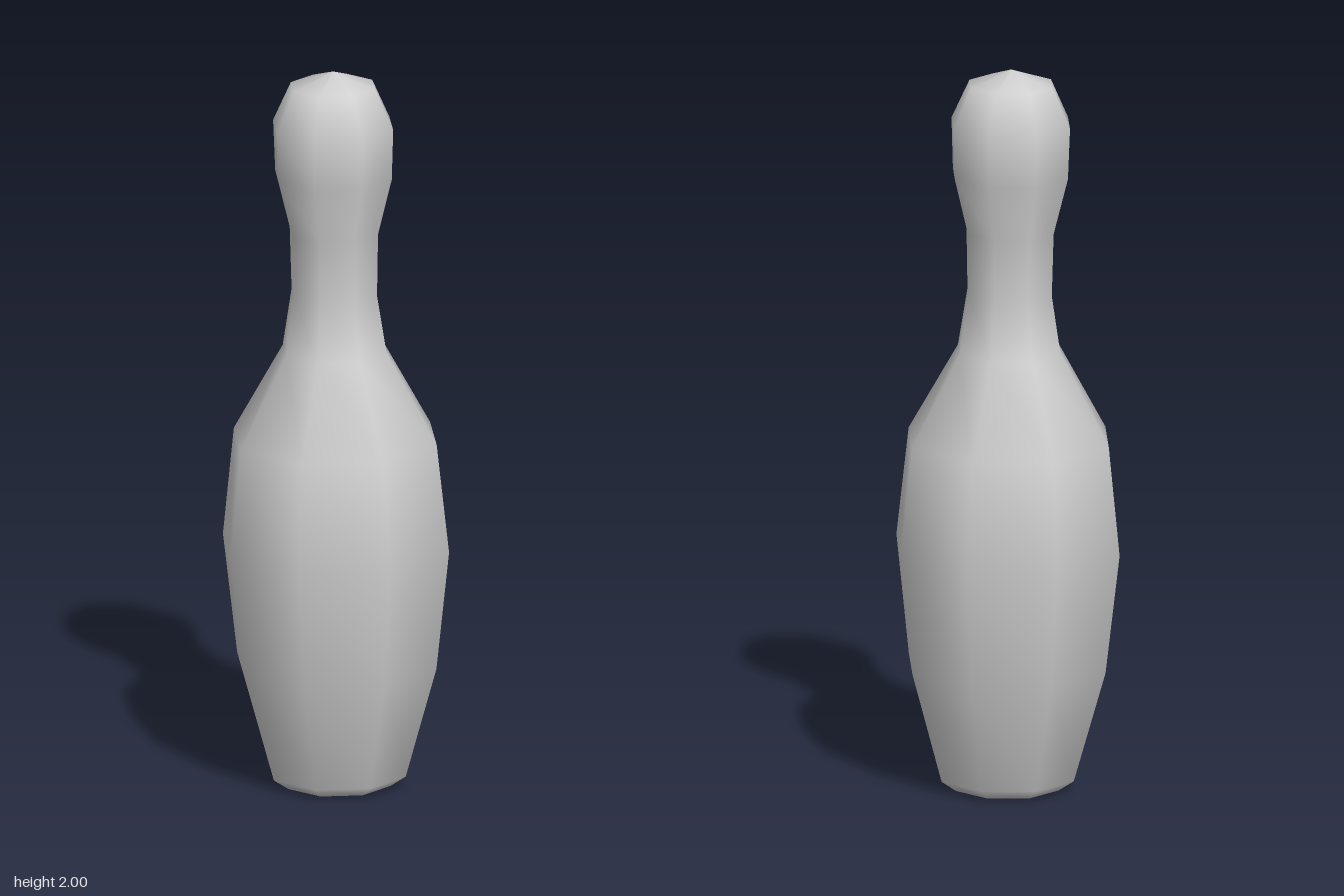
import * as THREE from 'three';

export function createModel() {
  const group = new THREE.Group();
  group.name = 'bowlingPin';

  const paleGrey = new THREE.MeshStandardMaterial({ color: 0xcccccc });
  paleGrey.name = 'paleGrey';

  // Profile as radius, height: base, belly, shoulder, neck, head, crown
  const profile = [
    [0, 0.005], [0.15, 0.005], [0.193, 0.035], [0.282, 0.345], [0.32, 0.675],
    [0.287, 0.975], [0.147, 1.22], [0.121, 1.38], [0.125, 1.553],
    [0.165, 1.71], [0.17, 1.85], [0.119, 1.96], [0, 2.0],
  ].map(([r, y]) => new THREE.Vector2(r, y));

  // Eight-sided smooth lathe, turned so a corner lies 10 degrees off +x
  const pin = new THREE.Mesh(
    new THREE.LatheGeometry(profile, 8, THREE.MathUtils.degToRad(34.9)),
    paleGrey
  );
  pin.name = 'pinBody';

  // The pin leans very slightly backward
  pin.rotation.set(-0.0095, 0, 0.001);
  pin.position.z = 0.006;
  group.add(pin);

  return group;
}
